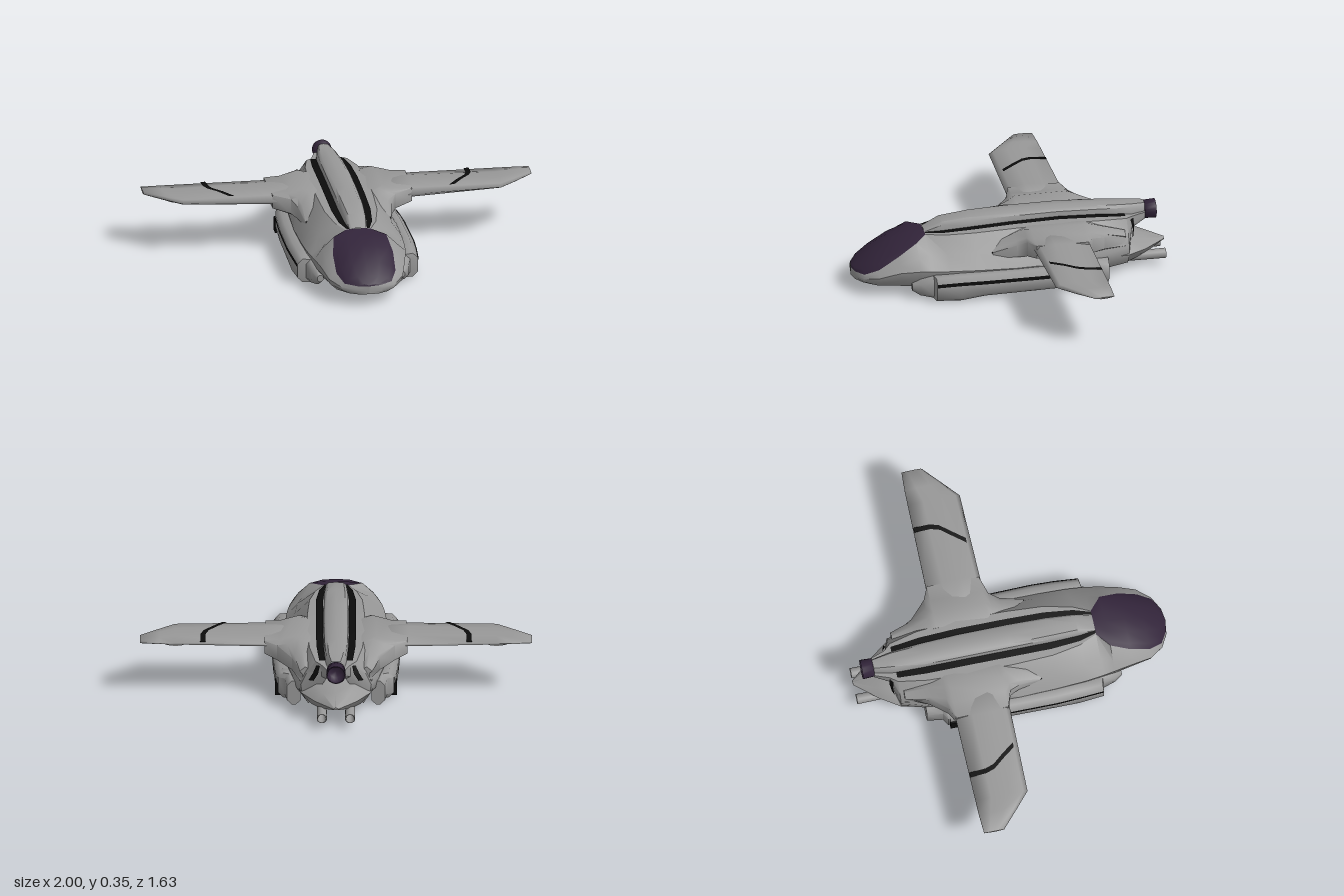
import * as THREE from 'three';
import { toCreasedNormals } from 'three/addons/utils/BufferGeometryUtils.js';

const paint = color => new THREE.MeshStandardMaterial({ color, side: THREE.DoubleSide });
const grey = paint(0x989898), black = paint(0x0c0c0c), purple = paint(0x32243a);

// Skin through rings of [x, y, z]; side = -1 mirrors it across x.
// A closed skin wraps round and gets end caps, an open one is plain plating.
function skin(rings, side, closed, crease) {
  if (side < 0) rings = rings.map(r => r.map(([x, y, z]) => [-x, y, z]).reverse());
  const n = rings[0].length, last = (rings.length - 1) * n, index = [];
  for (let i = 0; i < rings.length - 1; i++) {
    for (let j = 0; j < (closed ? n : n - 1); j++) {
      const a = i * n + j, b = i * n + (j + 1) % n;
      index.push(a, a + n, b, b, a + n, b + n);
    }
  }
  for (let j = 1; closed && j < n - 1; j++) index.push(0, j, j + 1, last, last + j + 1, last + j);
  const g = new THREE.BufferGeometry();
  g.setAttribute('position', new THREE.Float32BufferAttribute(rings.flat(2), 3));
  g.setIndex(index);
  return toCreasedNormals(g, crease);
}
const loft = (rings, side = 1, crease = 0.9) => skin(rings, side, true, crease);
const sheet = (rings, side = 1, crease = 0.7) => skin(rings, side, false, crease);

// Full section from a half outline that ends on the centre line
const mirrored = (half, z, first = 0) => [
  ...half, ...half.slice(first, -1).reverse().map(([x, y]) => [-x, y]),
].map(([x, y]) => [x, y, z]);

// Tube along -z, closed in front, from a profile of [radius, length]
const tube = (profile, x, y, z) => new THREE.LatheGeometry(profile.map(p => new THREE.Vector2(...p)), 20)
  .rotateX(-Math.PI / 2).translate(x, y, z);

export function createModel() {
  const group = new THREE.Group();
  const add = (name, geometry, material = grey) => {
    const m = new THREE.Mesh(geometry, material);
    m.name = name;
    group.add(m);
    return m;
  };

  // Hull: z, lower edge x y, widest x y, roof edge x y, crown half width and top y
  const hull = [
    [0.815, 0, 0.07, 0, 0.095, 0, 0.112, 0, 0.117],
    [0.806, 0.05, 0.068, 0.07, 0.095, 0.06, 0.113, 0, 0.125],
    [0.77, 0.10, 0.065, 0.138, 0.10, 0.122, 0.118, 0, 0.156],
    [0.70, 0.15, 0.063, 0.19, 0.12, 0.152, 0.15, 0, 0.206],
    [0.60, 0.17, 0.062, 0.215, 0.15, 0.155, 0.215, 0, 0.257],
    [0.50, 0.19, 0.058, 0.235, 0.158, 0.135, 0.275, 0, 0.283],
    [0.44, 0.2, 0.055, 0.245, 0.158, 0.065, 0.287, 0.04, 0.292],
    [0.35, 0.21, 0.048, 0.255, 0.155, 0.105, 0.292, 0.052, 0.338],
    [0.20, 0.22, 0.042, 0.262, 0.15, 0.135, 0.303, 0.06, 0.352],
    [0.00, 0.22, 0.042, 0.265, 0.145, 0.145, 0.313, 0.062, 0.358],
    [-0.25, 0.2, 0.042, 0.255, 0.145, 0.145, 0.318, 0.062, 0.358],
    [-0.45, 0.17, 0.05, 0.22, 0.15, 0.135, 0.308, 0.058, 0.350],
    [-0.60, 0.14, 0.062, 0.18, 0.165, 0.105, 0.293, 0.05, 0.341],
    [-0.635, 0.05, 0.21, 0.075, 0.235, 0.075, 0.288, 0.045, 0.338],
    [-0.71, 0.035, 0.25, 0.047, 0.27, 0.048, 0.292, 0.03, 0.334],
  ];
  const flank = hull.map(([z, xb, yb, xw, yw, xt, yt]) => [
    [xb, yb], [xw * 0.96, yb + (yw - yb) * 0.5], [xw, yw],
    [xw * 0.6 + xt * 0.4, yw * 0.5 + yt * 0.5], [xt, yt],
  ].map(([x, y]) => [x, y, z]));

  // Canopy closes the front of the roof
  add('canopy', sheet(hull.slice(0, 7).map(([z, , , , , xt, yt, , yr]) => mirrored([
    [xt, yt], [xt * 0.85, yt + (yr - yt) * 0.45], [xt * 0.45, yt + (yr - yt) * 0.88], [0, yr],
  ], z))), purple);

  // Raised spine with a groove along each side
  const spine = hull.slice(6);
  add('dorsalSpine', sheet(spine.map(([z, , , , , xt, yt, xr, yr]) => mirrored([
    [xt, yt], [xr + 0.004, yt], [xr, yt + (yr - yt) * 0.7], [xr * 0.75, yr], [0, yr + 0.003],
  ], z))));

  // Tail beak under the exhaust
  const beak = [[-0.48, 0.2, 0.06, 0.19], [-0.60, 0.18, 0.06, 0.185], [-0.70, 0.11, 0.075, 0.155], [-0.815, 0.012, 0.112, 0.122]];
  add('tailBeak', loft(beak.map(([z, w, yb, yt]) => mirrored([
    [0, yb], [w * 0.7, yb], [w, (yb + yt) / 2], [w * 0.6, yt], [0, yt + 0.004],
  ], z, 1))));

  add('exhaustNozzle', tube([[0, 0], [0.047, 0], [0.05, 0.06], [0.042, 0.06], [0.036, 0.01], [0, 0.01]], 0, 0.288, -0.71), purple);

  // Engine pods: z, inner x, outer x, bottom y, top y
  const pod = [
    [0.54, 0.195, 0.225, 0.05, 0.085], [0.50, 0.19, 0.25, 0.025, 0.115], [0.435, 0.2, 0.268, 0.012, 0.135],
    [0.428, 0.2, 0.31, 0.012, 0.137], [0.30, 0.21, 0.32, 0.008, 0.142], [0.18, 0.215, 0.325, 0.025, 0.142],
    [-0.10, 0.215, 0.322, 0.027, 0.14], [-0.30, 0.2, 0.31, 0.025, 0.135], [-0.37, 0.19, 0.3, 0.012, 0.135],
  ];
  const podBack = [[-0.32, 0.18, 0.3, 0.006, 0.138], [-0.38, 0.18, 0.295, 0.006, 0.14],
    [-0.40, 0.18, 0.262, 0.006, 0.142], [-0.48, 0.18, 0.25, 0.006, 0.135]];
  const podRing = ([z, xi, xo, yb, yt]) => {
    const c = Math.min(0.025, (yt - yb) * 0.25);
    return [[xi, yb + c], [xi + c, yb], [xo - c, yb], [xo, yb + c],
      [xo, yt - c], [xo - c, yt], [xi + c, yt], [xi, yt - c]].map(([x, y]) => [x, y, z]);
  };

  // Wing: x, leading z, trailing z, bottom y, top y
  const wing = [
    [0.18, -0.07, -0.355, 0.225, 0.315], [0.37, -0.072, -0.355, 0.232, 0.312], [0.82, -0.08, -0.351, 0.262, 0.302],
    [0.90, -0.15, -0.35, 0.268, 0.3], [1.0, -0.24, -0.345, 0.28, 0.296],
  ];
  const wingRings = wing.map(([x, zf, zb, yb, yt]) => [
    [0, 0.5], [0.08, 0.85], [0.35, 1], [0.7, 0.92], [1, 0.7], [1, 0.55], [0.7, 0.15], [0.35, 0], [0.08, 0.25],
  ].map(([u, v]) => [x, yb + (yt - yb) * v, zf + (zb - zf) * u]));

  // Wing root shoulder: z, outer x, lower y, outer bottom y, outer top y, crest y
  const shoulder = [
    [0.12, 0.222, 0.185, 0.195, 0.225, 0.25], [0.00, 0.242, 0.18, 0.197, 0.262, 0.302], [-0.05, 0.27, 0.175, 0.21, 0.288, 0.322],
    [-0.08, 0.36, 0.17, 0.234, 0.304, 0.33], [-0.35, 0.365, 0.165, 0.235, 0.304, 0.33],
    [-0.38, 0.30, 0.165, 0.21, 0.29, 0.325], [-0.46, 0.225, 0.16, 0.19, 0.255, 0.295], [-0.58, 0.17, 0.165, 0.185, 0.22, 0.255],
  ];
  const shoulderRing = ([z, xo, y0, y1, y2, y3]) => [
    [0.13, y0], [xo * 0.25 + 0.14, y0 + 0.012], [xo, y1], [xo, y2],
    [xo * 0.5 + 0.1, (y2 + y3) / 2 - 0.008], [xo * 0.25 + 0.115, y3], [0.13, y3 - 0.015],
  ].map(([x, y]) => [x, y, z]);

  for (const s of [1, -1]) {
    const side = s > 0 ? 'left' : 'right';
    add(side + 'HullFlank', sheet(flank, s));
    add(side + 'DorsalStripe', sheet(spine.slice(0, 7).map(([z, , , , , xt, yt, xr]) => {
      const width = Math.min(0.036, (xt - xr) * 0.55);
      return [[xr + 0.005 + width, yt + 0.004, z], [xr + 0.005, yt + 0.004, z]];
    }), s), black);

    add(side + 'EnginePod', loft(pod.map(podRing), s));
    add(side + 'PodRearBlock', loft(podBack.map(podRing), s));
    add(side + 'PodStripe', sheet(pod.slice(3, 8).map(([z, , xo, , yt]) =>
      [[xo + 0.003, yt - 0.042, z], [xo + 0.003, yt - 0.023, z]]), s), black);
    add(side + 'PodVent', new THREE.BoxGeometry(0.03, 0.07, 0.055), black).position.set(s * 0.296, 0.048, -0.343);

    add(side + 'WingShoulder', loft(shoulder.map(shoulderRing), s, 1.1));
    add(side + 'IntakeSlot', new THREE.BoxGeometry(0.02, 0.026, 0.008), black).position.set(s * 0.209, 0.212, 0.12);
    add(side + 'Wing', loft(wingRings, s, 2.2));

    // Bent stripe across the top of the wing
    const stripe = [[0.692, 0.298, -0.35], [0.69, 0.307, -0.265], [0.675, 0.309, -0.22], [0.63, 0.3095, -0.165], [0.58, 0.305, -0.1]];
    add(side + 'WingStripe', sheet(stripe.map(([x, y, z]) => [[x, y, z], [x - 0.026, y, z]]), s), black);

    // Round panel under the wing tip
    const panel = add(side + 'WingTipPanel', new THREE.CircleGeometry(0.075, 28).rotateX(Math.PI / 2));
    panel.position.set(s * 0.83, 0.26, -0.235);
    panel.rotation.z = s * 0.07;

    // Rear thruster tube and the dark mark beside the exhaust
    add(side + 'ThrusterTube', tube([[0, 0], [0.024, 0], [0.026, 0.2], [0.02, 0.2], [0.016, 0.1], [0, 0.1]], s * 0.072, 0.064, -0.61));
    add(side + 'TailMark', sheet([
      [[0.1, 0.28, -0.622], [0.082, 0.284, -0.64]],
      [[0.118, 0.24, -0.63], [0.092, 0.24, -0.642]],
      [[0.14, 0.2, -0.625], [0.115, 0.2, -0.635]],
    ], s), black);
  }
  return group;
}
